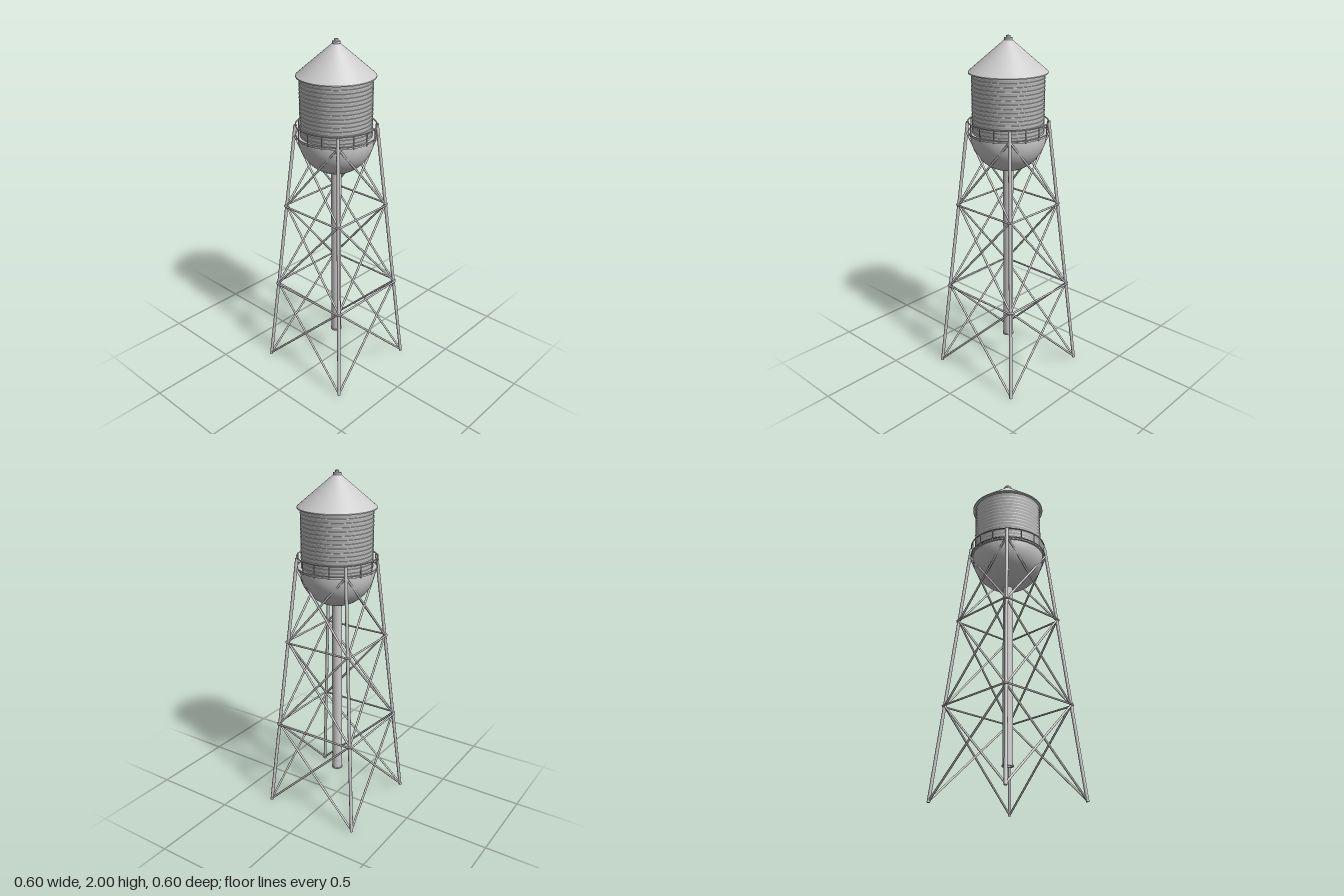
import * as THREE from 'three';

const material = new THREE.MeshStandardMaterial({ color: 0xcccccc, side: THREE.DoubleSide });
const v = (x, y, z) => new THREE.Vector3(x, y, z);

function addMesh(parent, name, geometry) {
  const mesh = new THREE.Mesh(geometry, material);
  mesh.name = name;
  parent.add(mesh);
  return mesh;
}

// Round bar between two points
function addBar(parent, name, a, b, radius, sides = 10) {
  const bar = addMesh(parent, name, new THREE.CylinderGeometry(radius, radius, a.distanceTo(b), sides));
  bar.position.copy(a).add(b).multiplyScalar(0.5);
  bar.quaternion.setFromUnitVectors(v(0, 1, 0), b.clone().sub(a).normalize());
  return bar;
}

// Lathe with sharp profile corners: every segment gets its own vertices
function addTurned(parent, name, profile, segments = 64) {
  const part = new THREE.Group();
  part.name = name;
  for (let i = 0; i < profile.length - 1; i++) {
    const points = [profile[i], profile[i + 1]].map(([r, y]) => new THREE.Vector2(r, y));
    addMesh(part, name + 'Section', new THREE.LatheGeometry(points, segments));
  }
  parent.add(part);
}

function addRing(parent, name, radius, tube, y) {
  const ring = addMesh(parent, name, new THREE.TorusGeometry(radius, tube, 8, 64));
  ring.rotation.x = Math.PI / 2;
  ring.position.y = y;
}

// Half width of the tapering tower at a height
const legOffset = (y) => 0.293 - 0.0877 * y;
const corner = (i, y) => {
  const a = Math.PI / 4 + i * Math.PI / 2;
  const r = legOffset(y) * Math.SQRT2;
  return v(Math.cos(a) * r, y, Math.sin(a) * r);
};

// Closed square tube with rounded corners around the legs
function addFrame(parent, y) {
  const h = legOffset(y) + 0.013, c = 0.02;
  const path = new THREE.CurvePath();
  for (let i = 0; i < 4; i++) {
    const turn = (x, z) => v(x, y, z).applyAxisAngle(v(0, 1, 0), i * Math.PI / 2);
    path.add(new THREE.LineCurve3(turn(-h + c, h), turn(h - c, h)));
    path.add(new THREE.QuadraticBezierCurve3(turn(h - c, h), turn(h, h), turn(h, h - c)));
  }
  addMesh(parent, 'horizontalFrame', new THREE.TubeGeometry(path, 160, 0.0055, 8, true));
}

export function createModel() {
  const model = new THREE.Group();
  model.name = 'waterTower';

  // Legs, cross bracing and horizontal frames
  const tower = new THREE.Group();
  tower.name = 'tower';
  model.add(tower);
  const levels = [0.008, 0.527, 1.046, 1.48];
  for (let i = 0; i < 4; i++) {
    addBar(tower, 'leg', corner(i, 0), corner(i, 1.535), 0.0095, 12);
    for (let k = 0; k < 3; k++) {
      addBar(tower, 'brace', corner(i, levels[k]), corner(i + 1, levels[k + 1]), 0.006);
      addBar(tower, 'brace', corner(i + 1, levels[k]), corner(i, levels[k + 1]), 0.006);
    }
  }
  addFrame(tower, levels[1]);
  addFrame(tower, levels[2]);

  // Hollow riser pipe with a bottom flange
  addTurned(model, 'riserPipe', [
    [0.024, 1.28], [0.024, 0.187], [0.033, 0.187], [0.033, 0.195], [0.029, 0.195], [0.029, 1.28],
  ], 32);

  // Bowl-shaped tank bottom
  const bowl = addMesh(model, 'tankBowl',
    new THREE.SphereGeometry(0.212, 64, 24, 0, Math.PI * 2, Math.PI / 2, Math.PI / 2));
  bowl.position.y = 1.468;

  // Tank wall made of overlapping bands
  const wall = [];
  const bands = 15, bottom = 1.468, top = 1.805;
  for (let i = 0; i < bands; i++) {
    const y = bottom + (top - bottom) * i / bands;
    const next = bottom + (top - bottom) * (i + 1) / bands;
    wall.push([0.197, y], [0.201, next - 0.006], [0.201, next - 0.001]);
  }
  wall.push([0.197, top]);
  addTurned(model, 'tankWall', wall);

  // Conical roof with eave and vent cap
  addTurned(model, 'roof', [
    [0.197, 1.806], [0.217, 1.804], [0.217, 1.81], [0.018, 1.98],
  ]);
  addTurned(model, 'roofVent', [
    [0.018, 1.973], [0.023, 1.977], [0.023, 1.988], [0.011, 1.99], [0.011, 2], [0, 2],
  ], 32);

  // Walkway and railing
  const walkway = new THREE.Group();
  walkway.name = 'walkway';
  model.add(walkway);
  addTurned(walkway, 'walkwayDeck', [
    [0.197, 1.468], [0.222, 1.468], [0.222, 1.476], [0.197, 1.476],
  ]);
  addRing(walkway, 'topRail', 0.223, 0.0035, 1.538);
  addRing(walkway, 'lowerRail', 0.223, 0.003, 1.48);
  for (let i = 0; i < 16; i++) {
    const a = i * Math.PI / 8;
    const x = Math.cos(a) * 0.223, z = Math.sin(a) * 0.223;
    addBar(walkway, 'railPost', v(x, 1.465, z), v(x, 1.538, z), 0.003, 8);
  }

  return model;
}
